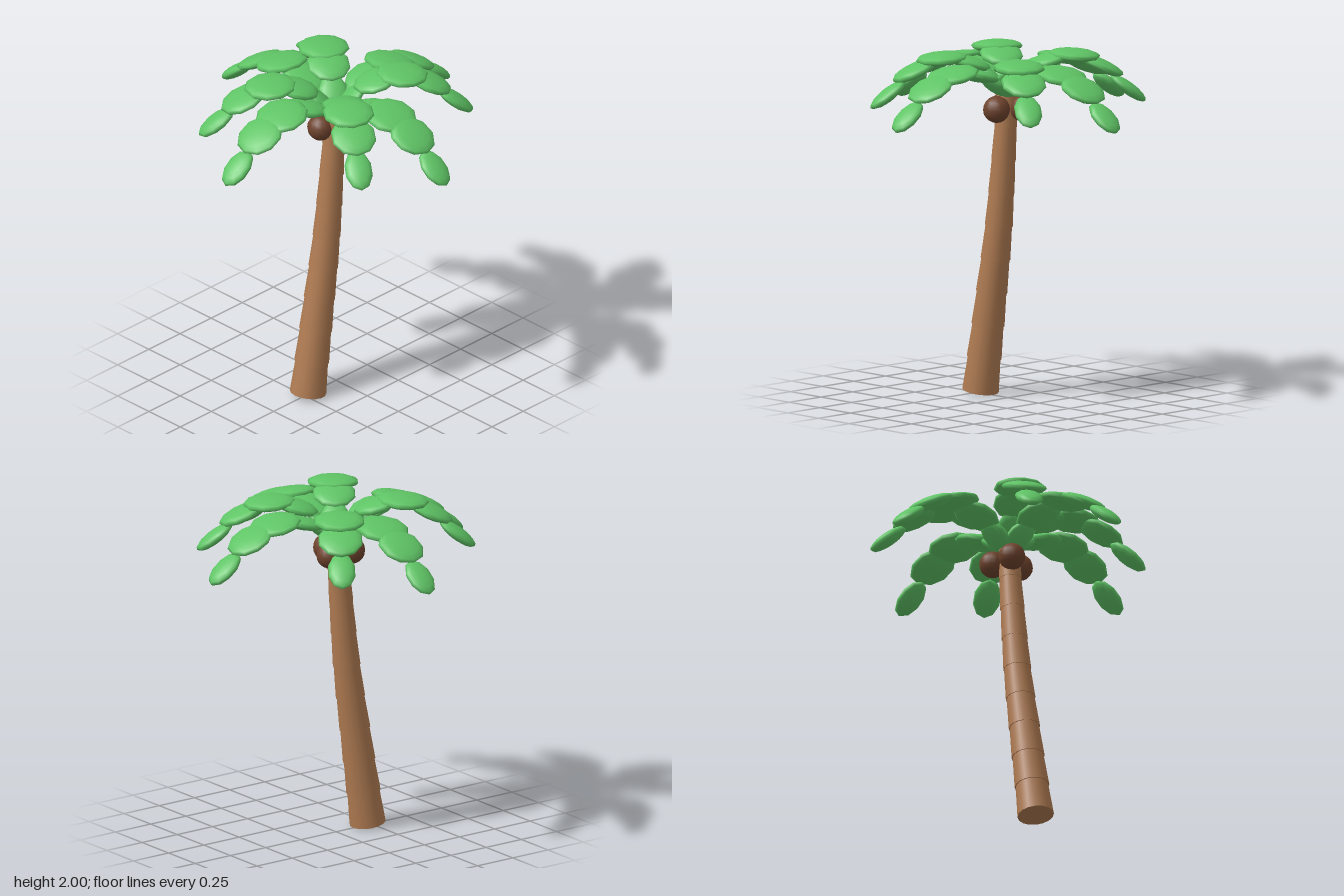
import * as THREE from 'three';

const bark = new THREE.MeshStandardMaterial({ color: 0xaf7b52 });
bark.name = 'bark';
const leafGreen = new THREE.MeshStandardMaterial({ color: 0x5fc465 });
leafGreen.name = 'leafGreen';
const coconutBrown = new THREE.MeshStandardMaterial({ color: 0x6e432d });
coconutBrown.name = 'coconutBrown';

// Each leaflet: distance from the crown, height, half length, half width, slope in degrees
const LONG_FROND = [
  [0.09, 1.80, 0.12, 0.085, 35],
  [0.25, 1.88, 0.14, 0.125, 15],
  [0.435, 1.905, 0.15, 0.155, -12],
  [0.61, 1.845, 0.14, 0.135, -27],
  [0.79, 1.705, 0.122, 0.08, -38],
];
const HIGH_FROND = [
  [0.08, 1.83, 0.12, 0.085, 45],
  [0.23, 1.935, 0.135, 0.125, 16],
  [0.38, 1.96, 0.15, 0.148, -4],
  [0.535, 1.895, 0.14, 0.13, -24],
  [0.69, 1.76, 0.125, 0.08, -37],
];

// Trunk: stacked tapering rings following a gently straightening lean
function buildTrunk() {
  const trunk = new THREE.Group();
  trunk.name = 'trunk';
  const centreX = [-0.224, -0.194, -0.163, -0.133, -0.102, -0.075, -0.054, -0.036, -0.019, -0.008];
  const up = new THREE.Vector3(0, 1, 0);
  const at = (i) => new THREE.Vector3(centreX[i], 0.018 + i * 0.193, 0);
  for (let i = 0; i < centreX.length - 1; i++) {
    const a = at(i), b = at(i + 1);
    const dir = b.clone().sub(a);
    const radius = 0.104 - i * 0.0049;
    const ring = new THREE.Mesh(
      new THREE.CylinderGeometry(radius * 0.89, radius, dir.length() + 0.008, 16), bark);
    ring.name = 'trunkRing' + (i + 1);
    ring.position.copy(a).add(b).multiplyScalar(0.5);
    ring.quaternion.setFromUnitVectors(up, dir.normalize());
    trunk.add(ring);
  }
  return trunk;
}

// Frond: a drooping chain of flattened leaflets
function buildFrond(leaflets, geometry, angle, name) {
  const frond = new THREE.Group();
  frond.name = name;
  leaflets.forEach(([r, y, length, width, slope], i) => {
    const leaflet = new THREE.Mesh(geometry, leafGreen);
    leaflet.name = 'leaflet' + (i + 1);
    leaflet.position.set(r, y, 0);
    leaflet.scale.set(length, 0.036, width);
    leaflet.rotation.z = THREE.MathUtils.degToRad(slope);
    frond.add(leaflet);
  });
  frond.rotation.y = -angle;
  return frond;
}

export function createModel() {
  const tree = new THREE.Group();
  tree.name = 'palmTree';
  tree.add(buildTrunk());

  // Crown: four long fronds, with four higher ones between them
  const leafGeometry = new THREE.SphereGeometry(1, 10, 8);
  for (let i = 0; i < 4; i++) {
    const angle = i * Math.PI / 2;
    tree.add(buildFrond(LONG_FROND, leafGeometry, angle, 'longFrond' + (i + 1)));
    tree.add(buildFrond(HIGH_FROND, leafGeometry, angle + 0.6, 'highFrond' + (i + 1)));
  }

  // Coconuts hanging around the top of the trunk
  const nutGeometry = new THREE.SphereGeometry(0.077, 14, 10);
  for (let i = 0; i < 3; i++) {
    const a = Math.PI / 2 + i * Math.PI * 2 / 3;
    const nut = new THREE.Mesh(nutGeometry, coconutBrown);
    nut.name = 'coconut' + (i + 1);
    nut.position.set(Math.cos(a) * 0.09, 1.667, Math.sin(a) * 0.09);
    tree.add(nut);
  }
  return tree;
}
